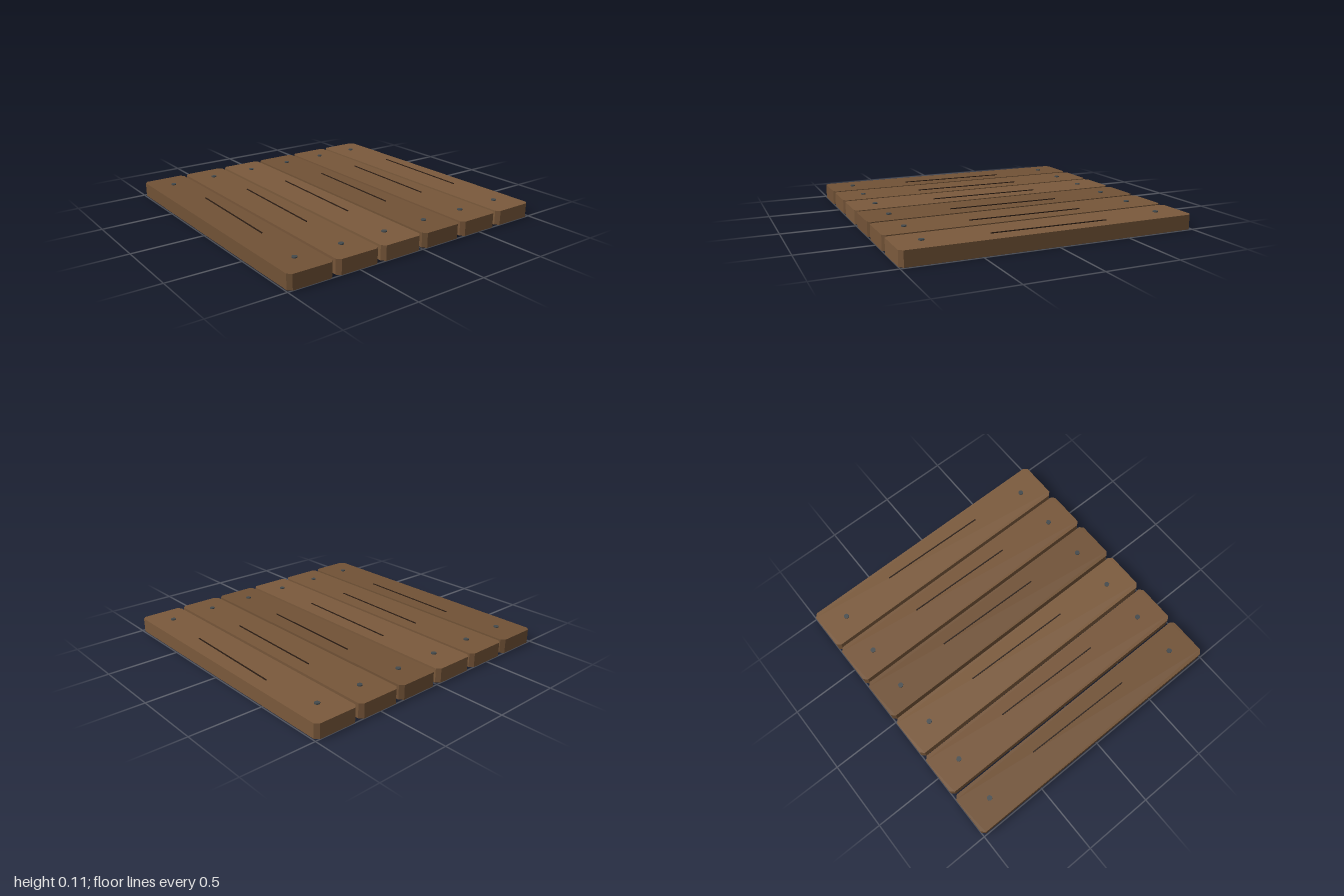
import * as THREE from 'three';

const COUNT = 6, PITCH = 0.334, LENGTH = 2, WIDTH = 0.312, HEIGHT = 0.1, CHAMFER = 0.025;

const paint = (color) => new THREE.MeshStandardMaterial({ color });

// Plank outline with clipped corners, extruded upward
function plankGeometry() {
  const x = LENGTH / 2, z = WIDTH / 2, c = CHAMFER;
  const outline = new THREE.Shape([
    [-x + c, -z], [x - c, -z], [x, -z + c], [x, z - c],
    [x - c, z], [-x + c, z], [-x, z - c], [-x, -z + c],
  ].map(([a, b]) => new THREE.Vector2(a, b)));
  return new THREE.ExtrudeGeometry(outline, { depth: HEIGHT, bevelEnabled: false }).rotateX(-Math.PI / 2);
}

export function createModel() {
  const model = new THREE.Group();
  model.name = 'plankDeck';

  const woods = [0x7b5a3c, 0x775639, 0x715236].map(paint);
  const grainMaterial = paint(0x2b1d14);
  const nailMaterial = paint(0x444a4d);
  const plankShape = plankGeometry();
  const grainShape = new THREE.BoxGeometry(0.8, 0.008, 0.008);
  const nailShape = new THREE.CylinderGeometry(0.018, 0.018, 0.012, 12);

  const add = (parent, name, geometry, material, x, y, z) => {
    const mesh = new THREE.Mesh(geometry, material);
    mesh.name = name;
    mesh.position.set(x, y, z);
    parent.add(mesh);
    return mesh;
  };

  for (let i = 0; i < COUNT; i++) {
    const board = new THREE.Group();
    board.name = `board${i + 1}`;
    board.position.z = (i - (COUNT - 1) / 2) * PITCH;
    add(board, 'plank', plankShape, woods[i % 3], 0, 0, 0);

    // Slightly slanted grain line
    add(board, 'grainLine', grainShape, grainMaterial, 0, HEIGHT + 0.001, -0.045).rotation.y = -0.02;

    // One nail head near each end
    for (const side of [-1, 1]) {
      add(board, side > 0 ? 'leftNail' : 'rightNail', nailShape, nailMaterial, side * 0.82, HEIGHT + 0.001, 0);
    }
    model.add(board);
  }
  return model;
}
